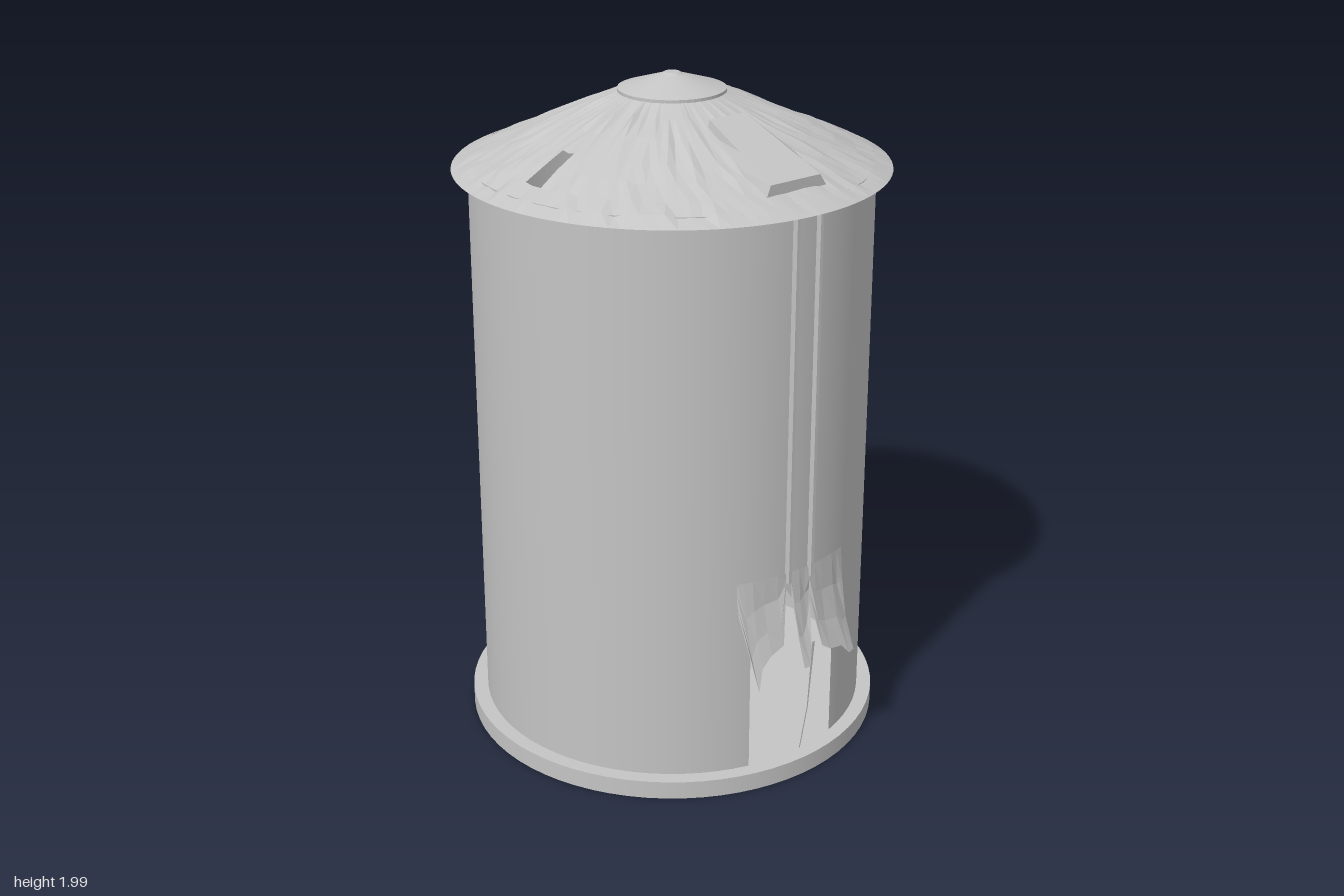
import * as THREE from 'three';

const R = 0.583, EAVE = 0.63, CAP = 0.155;
const DEG = Math.PI / 180;

const metal = new THREE.MeshStandardMaterial({ color: 0xc4c4c4, side: THREE.DoubleSide });
metal.name = 'galvanised grey';

// Seeded noise in -1..1
let seed = 7;
const noise = () => {
  seed = (seed * 16807) % 2147483647;
  return (seed / 2147483647) * 2 - 1;
};

// Faceted skin over rows of [x, y, z] points, with optional missing cells
function skin(rows, skip = () => false) {
  const pos = [];
  for (let i = 0; i < rows.length - 1; i++) {
    for (let j = 0; j < rows[i].length - 1; j++) {
      if (skip(i, j)) continue;
      const a = rows[i][j], b = rows[i + 1][j], c = rows[i + 1][j + 1], d = rows[i][j + 1];
      pos.push(...a, ...b, ...c, ...a, ...c, ...d);
    }
  }
  const g = new THREE.BufferGeometry();
  g.setAttribute('position', new THREE.Float32BufferAttribute(pos, 3));
  g.computeVertexNormals();
  return g;
}

const wallZ = x => Math.sqrt(R * R - x * x);
const roofY = r => 1.735 + ((EAVE - r) / (EAVE - CAP)) * 0.212;

export function createModel() {
  const model = new THREE.Group();
  model.name = 'storageBin';
  const body = new THREE.Group();
  body.name = 'binBody';
  body.position.z = -0.012;
  model.add(body);

  const add = (geometry, name, parent = body) => {
    const mesh = new THREE.Mesh(geometry, metal);
    mesh.name = name;
    parent.add(mesh);
    return mesh;
  };

  // Base slab
  add(new THREE.CylinderGeometry(0.627, 0.627, 0.055, 72), 'baseSlab').position.y = 0.035;

  // Wall sheets: [from angle, to angle, from height, to height], leaving two openings
  const wall = new THREE.Group();
  wall.name = 'wall';
  body.add(wall);
  const top = 1.755, bottom = 0.06;
  const sheets = [
    [16, 163, bottom, top], [197, 344.5, bottom, top],
    [-15.5, 16, 0.62, top],
    [163, 197, bottom, 0.33], [163, 197, 0.92, top],
  ];
  for (const [a0, a1, y0, y1] of sheets) {
    const n = Math.ceil((a1 - a0) / 5);
    const g = new THREE.CylinderGeometry(R, R, y1 - y0, n, 1, true, a0 * DEG, (a1 - a0) * DEG);
    add(g, 'wallSheet', wall).position.y = (y0 + y1) / 2;
  }

  // Crumpled conical roof with two small openings
  const N = 108, radii = [CAP - 0.01, 0.22, 0.3, 0.395, 0.46, 0.525, 0.58, EAVE];
  const roofRows = radii.map((r, i) => {
    const edge = i === 0 || i === radii.length - 1;
    const row = [];
    for (let j = 0; j < N; j++) {
      const t = (j / N) * Math.PI * 2;
      const dent = edge ? 0 : noise() * (0.0015 + 0.0055 * Math.abs(Math.sin(t)));
      row.push([r * Math.sin(t), roofY(r) + dent, r * Math.cos(t)]);
    }
    row.push(row[0]);
    return row;
  });
  const roofHole = (i, j) => {
    const deg = ((j + 0.5) / N) * 360;
    const ring = i === 3 || i === 4;
    return ring && (Math.abs(deg - 187.5) < 5 || Math.abs(deg - 278) < 3.4);
  };
  add(skin(roofRows, roofHole), 'roof');

  // Cap over the roof peak
  const capProfile = [[CAP, 1.942], [CAP, 1.956], [0.03, 1.995], [0.022, 2], [0, 2]];
  add(new THREE.LatheGeometry(capProfile.map(p => new THREE.Vector2(...p)), 48), 'roofCap')
    .geometry = (() => {
      const g = new THREE.LatheGeometry(capProfile.map(p => new THREE.Vector2(...p)), 48).toNonIndexed();
      g.computeVertexNormals();
      return g;
    })();

  // Raised hatch on the front of the roof, closed at both ends
  const section = (z, wTop, yTop, x0, x1, yLow) =>
    [[x0, yLow, z], [-wTop, yTop, z], [wTop, yTop, z], [x1, yLow, z]];
  const closeEnd = ([a, , , d]) => [a, a, d, d];
  const hatchRows = [
    section(0.245, 0.063, 1.922, -0.07, 0.07, 1.885),
    section(0.39, 0.075, 1.865, -0.092, 0.125, 1.83),
    section(0.532, 0.087, 1.808, -0.1, 0.11, 1.775),
  ];
  add(skin([closeEnd(hatchRows[0]), ...hatchRows, closeEnd(hatchRows[2])]), 'roofHatch');

  // Twin vertical rails down the front
  for (const x of [-0.043, 0.04]) {
    const rail = add(new THREE.BoxGeometry(0.01, 1.1, 0.026), 'frontRail');
    rail.position.set(x, 1.19, wallZ(x) + 0.004);
  }

  // Torn sheet over the front opening: [x, lower edge height]
  const tear = [
    [-0.2, 0.57], [-0.18, 0.35], [-0.155, 0.41], [-0.12, 0.44], [-0.075, 0.46], [-0.048, 0.62],
    [-0.03, 0.59], [-0.022, 0.38], [0, 0.38], [0.02, 0.43], [0.038, 0.56], [0.06, 0.42],
    [0.09, 0.4], [0.14, 0.39], [0.165, 0.36], [0.19, 0.36], [0.172, 0.55],
  ];
  const tearRows = [0, 0.35, 0.7, 1].map((t, i) => tear.map(([x, low]) => {
    const y = THREE.MathUtils.lerp(0.67, low, t);
    const flare = 0.004 + 0.72 * (0.67 - y) ** 2;
    return [x, y, wallZ(x) + flare + (i === 1 || i === 2 ? noise() * 0.004 : 0)];
  }));
  add(skin(tearRows), 'tornSheet');

  // Loose sliver hanging in the front opening
  add(skin([
    [[0.05, 0.42, 0.597], [0.06, 0.42, 0.597]],
    [[0.042, 0.2, 0.59], [0.046, 0.2, 0.59]],
    [[0.024, 0.06, 0.58], [0.028, 0.06, 0.58]],
  ]), 'looseSliver');

  return model;
}
